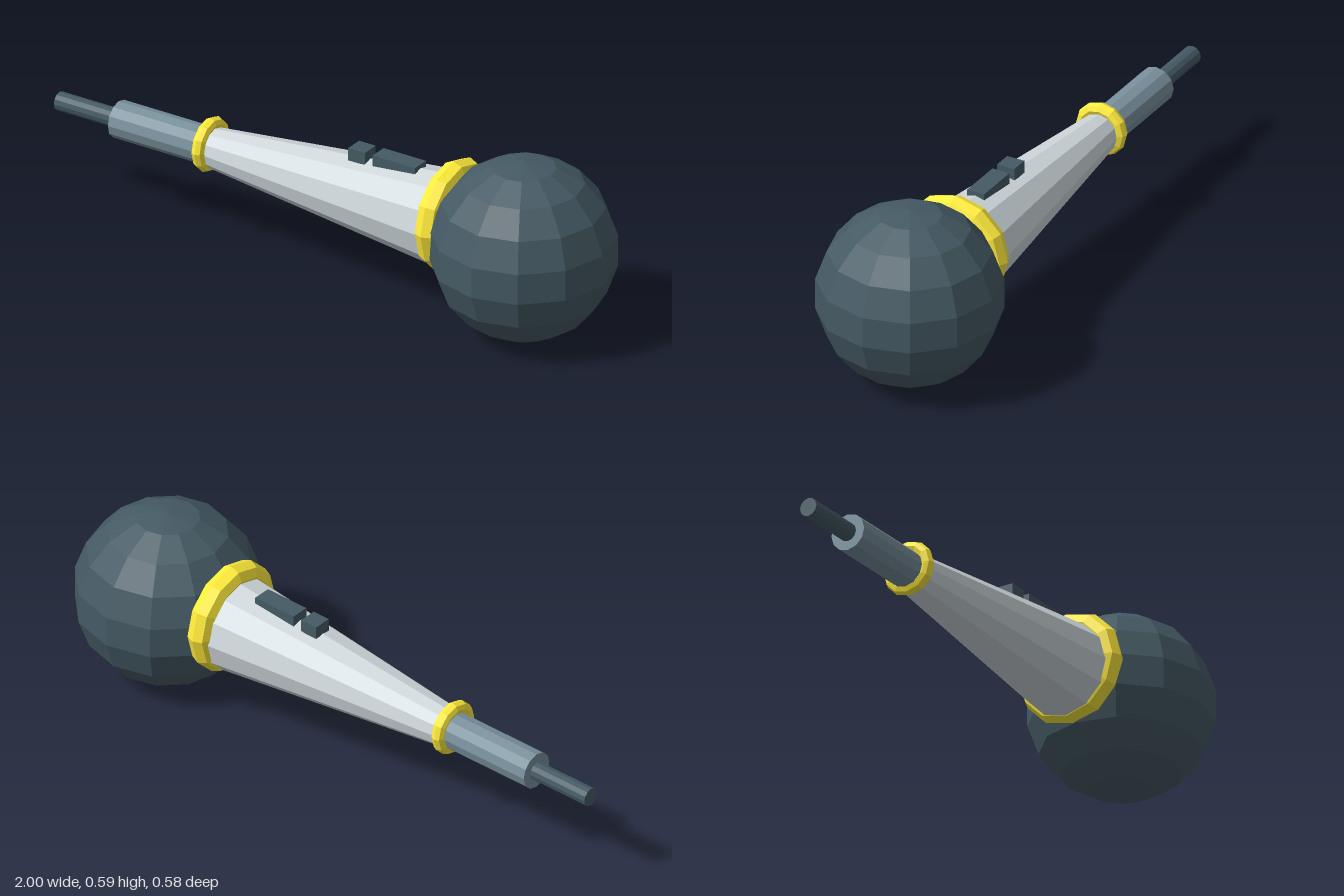
import * as THREE from 'three';

const AXIS_Y = 0.31, AXIS_Z = -0.01; // centre line of the handle
const SIDES = 12;

const paint = (color) => new THREE.MeshStandardMaterial({ color, flatShading: true });

export function createModel() {
  const model = new THREE.Group();
  model.name = 'microphone';

  const dark = paint(0x455a64);
  const slate = paint(0x78909c);
  const pale = paint(0xcfd8dc);
  const yellow = paint(0xffeb3b);

  const add = (name, geometry, material, x, y = AXIS_Y, z = AXIS_Z) => {
    const mesh = new THREE.Mesh(geometry, material);
    mesh.name = name;
    mesh.position.set(x, y, z);
    model.add(mesh);
  };

  // Tapered rod lying along x, from x0 (radius r0) to x1 (radius r1)
  const rod = (name, material, x0, r0, x1, r1) => {
    const geometry = new THREE.CylinderGeometry(r1, r0, x1 - x0, SIDES).rotateZ(-Math.PI / 2);
    add(name, geometry, material, (x0 + x1) / 2);
  };

  // Ring around the handle
  const ring = (name, x, y, radius, tube) =>
    add(name, new THREE.TorusGeometry(radius, tube, 8, SIDES).rotateY(Math.PI / 2), yellow, x, y);

  // Button set into the top of the handle
  const button = (name, x0, x1) =>
    add(name, new THREE.BoxGeometry(x1 - x0, 0.042, 0.06), dark, (x0 + x1) / 2, 0.444);

  // Round head
  add('head', new THREE.SphereGeometry(0.293, 12, 9), dark, 0.711, 0.294, 0);

  // Handle, cable sleeve and cable
  rod('handle', pale, -0.445, 0.063, 0.47, 0.157);
  rod('cableSleeve', slate, -0.782, 0.06, -0.44, 0.06);
  rod('cable', dark, -1, 0.03, -0.77, 0.03);

  // Collars at both ends of the handle
  ring('headCollar', 0.447, 0.327, 0.142, 0.041);
  ring('sleeveCollar', -0.445, 0.318, 0.068, 0.021);

  // Controls
  button('smallButton', 0.08, 0.141);
  button('slideSwitch', 0.17, 0.325);

  return model;
}
